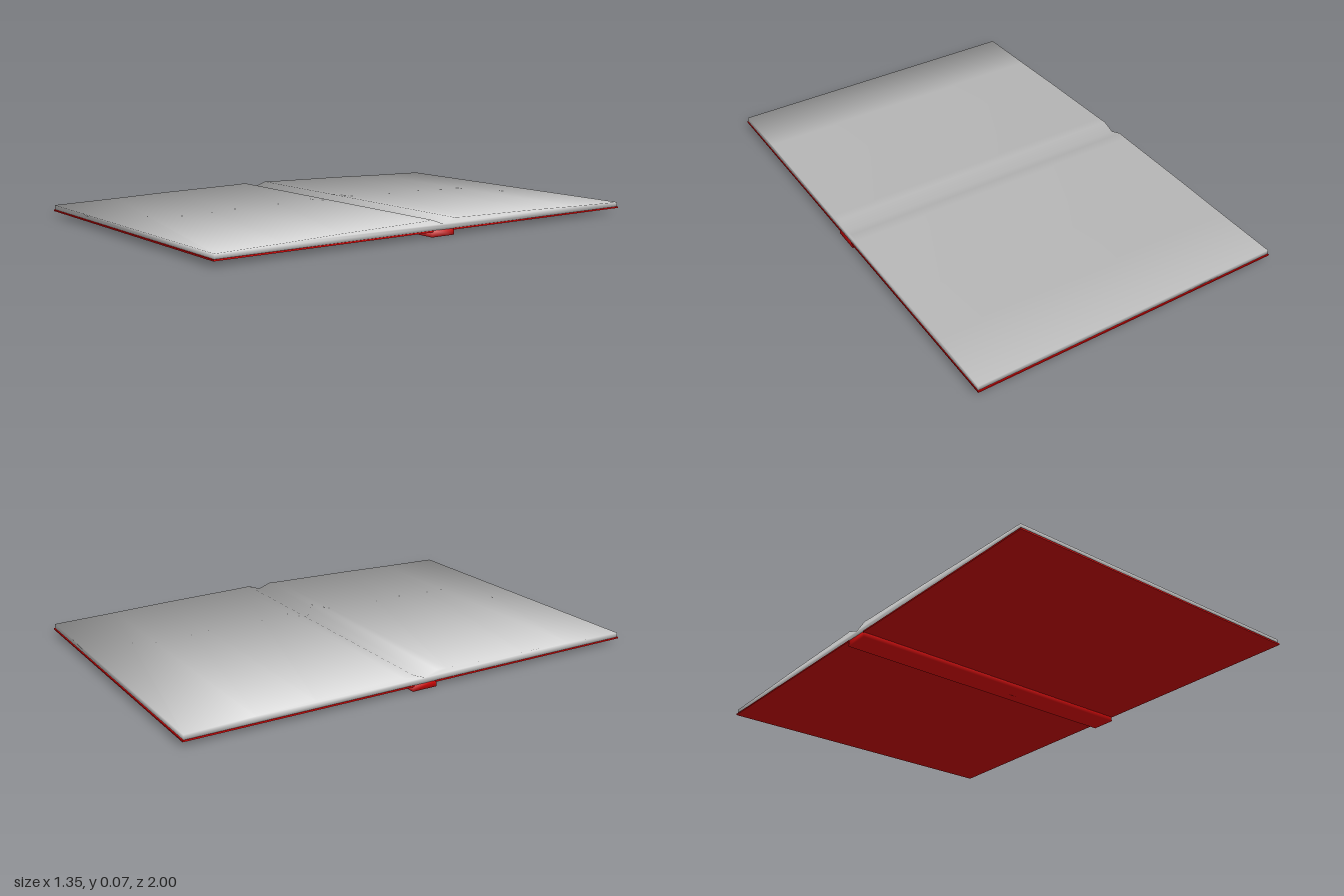
import * as THREE from 'three';

const grey = new THREE.MeshStandardMaterial({ color: 0xcccccc });
const red = new THREE.MeshStandardMaterial({ color: 0xdc0808 });

// Prism along x from a counter-clockwise [z, y] outline, with softly rounded shading at every edge
function smoothPrism(outline, halfWidth) {
  const n = outline.length;
  const positions = [], normals = [], index = [];
  const edgeNormal = (i) => {
    const [z0, y0] = outline[(i + n) % n], [z1, y1] = outline[(i + 1) % n];
    return new THREE.Vector3(0, z0 - z1, y1 - y0).normalize();
  };
  outline.forEach(([z, y], i) => {
    const around = edgeNormal(i - 1).add(edgeNormal(i)).normalize();
    for (const side of [1, -1]) {
      positions.push(side * halfWidth, y, z);
      const normal = around.clone().setX(side).normalize();
      normals.push(normal.x, normal.y, normal.z);
    }
    const a = 2 * i, b = 2 * ((i + 1) % n);
    index.push(a, b, b + 1, a, b + 1, a + 1);
  });
  // end caps
  const contour = outline.map(([z, y]) => new THREE.Vector2(z, y));
  for (const [a, b, c] of THREE.ShapeUtils.triangulateShape(contour, [])) {
    index.push(2 * a + 1, 2 * b + 1, 2 * c + 1, 2 * a, 2 * c, 2 * b);
  }
  const geometry = new THREE.BufferGeometry();
  geometry.setAttribute('position', new THREE.Float32BufferAttribute(positions, 3));
  geometry.setAttribute('normal', new THREE.Float32BufferAttribute(normals, 3));
  geometry.setIndex(index);
  return geometry;
}

export function createModel() {
  const group = new THREE.Group();
  const add = (name, geometry, material) => {
    const mesh = new THREE.Mesh(geometry, material);
    mesh.name = name;
    group.add(mesh);
    return mesh;
  };

  // Open pages: half profile from the outer edge to the centre fold, mirrored in z
  const half = [[0.995, 0.045], [0.72, 0.051], [0.48, 0.058], [0.1, 0.065], [0.055, 0.067]];
  const mirrored = half.map(([z, y]) => [-z, y]).reverse();
  const pages = [[-0.995, 0.025], [0.995, 0.025], ...half, [0, 0.047], ...mirrored];
  add('pages', smoothPrism(pages, 0.672), grey);

  // Cover boards on either side of the spine
  for (const side of [1, -1]) {
    const board = add(side > 0 ? 'frontCover' : 'backCover', new THREE.BoxGeometry(1.35, 0.006, 0.95), red);
    board.position.set(0, 0.023, side * 0.525);
  }

  // Raised spine block under the fold
  const spine = [[-0.055, 0], [0.055, 0], [0.055, 0.026], [-0.055, 0.026]];
  add('spine', smoothPrism(spine, 0.672), red);

  return group;
}
